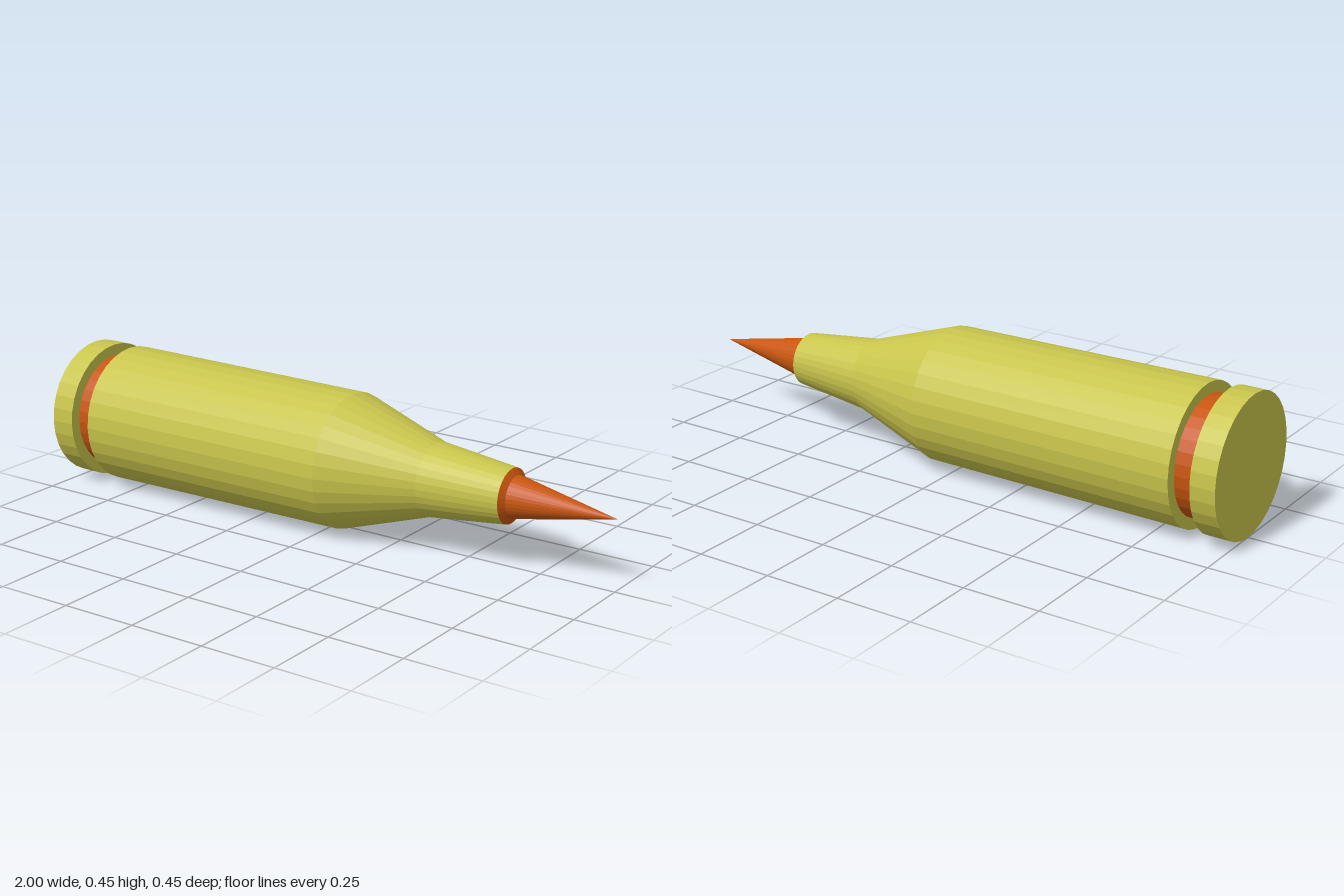
import * as THREE from 'three';

const SIDES = 32;
const AXIS_Y = 0.227;

export function createModel() {
  const model = new THREE.Group();
  const brass = new THREE.MeshStandardMaterial({ color: 0xc8c44c, flatShading: true });
  const copper = new THREE.MeshStandardMaterial({ color: 0xc8560f, flatShading: true });

  // Turned part lying along x; profile is [x, radius] from base to tip
  function turned(name, profile, material) {
    const points = profile.map(([x, r]) => new THREE.Vector2(r, x));
    const geometry = new THREE.LatheGeometry(points, SIDES);
    geometry.rotateZ(-Math.PI / 2);
    const mesh = new THREE.Mesh(geometry, material);
    mesh.name = name;
    mesh.position.y = AXIS_Y;
    model.add(mesh);
  }

  // Base rim, closed at both ends
  turned('baseRim', [[-1, 0], [-1, 0.227], [-0.918, 0.227], [-0.918, 0.19]], brass);
  // Recessed band between rim and case
  turned('extractorGroove', [[-0.918, 0.19], [-0.848, 0.19]], copper);
  // Case body with sloping shoulder and tapered neck
  turned('caseBody', [[-0.848, 0.19], [-0.848, 0.227], [0.065, 0.22], [0.375, 0.119], [0.645, 0.088]], brass);
  // Bevelled collar at the mouth of the neck
  turned('neckCollar', [[0.645, 0.088], [0.66, 0.068]], copper);
  // Pointed tip
  turned('tip', [[0.66, 0.068], [1, 0]], copper);

  return model;
}
